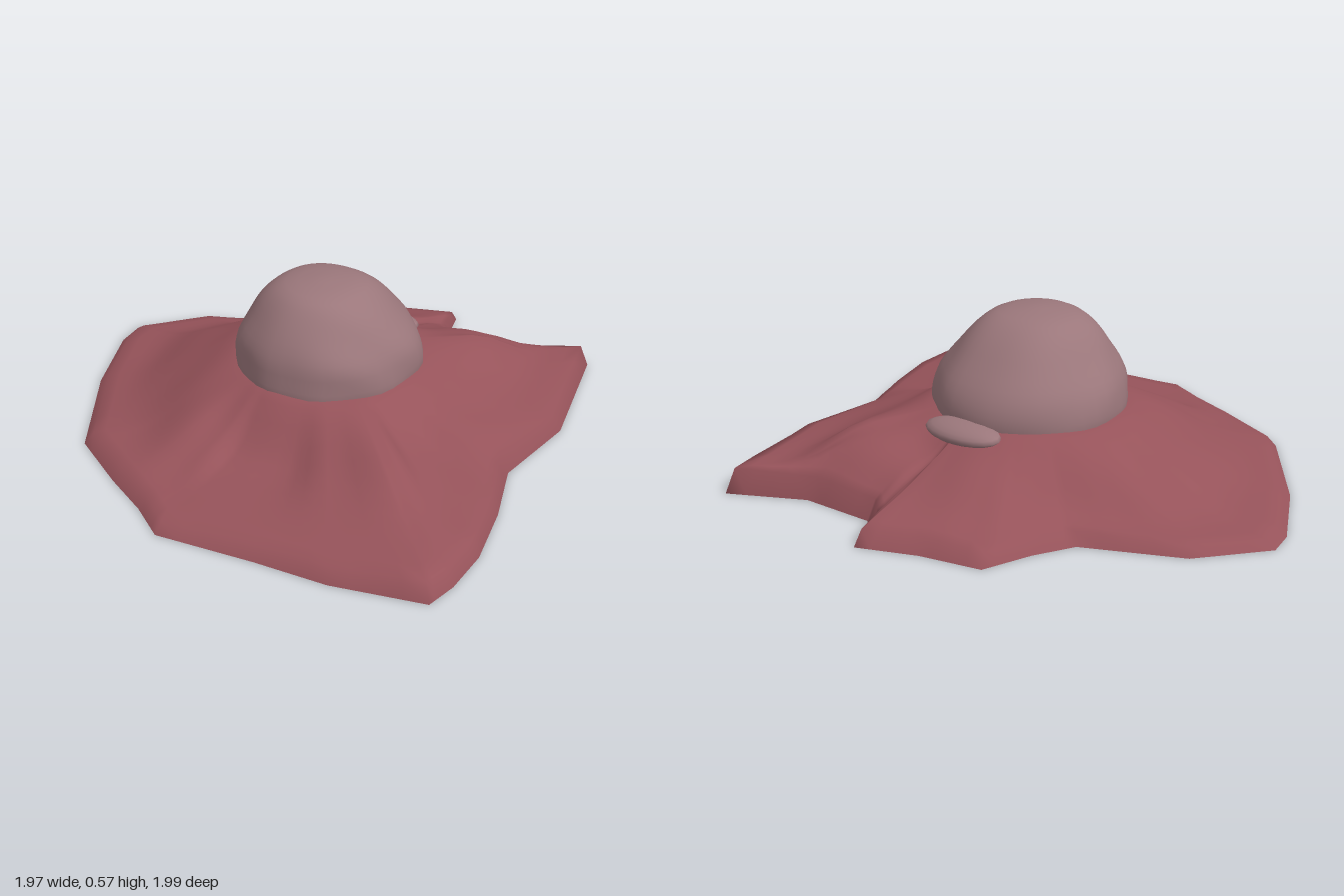
import * as THREE from 'three';
import { mergeVertices } from 'three/addons/utils/BufferGeometryUtils.js';

const CX = -0.075, CZ = -0.185; // centre of the dome

// Each spoke of the mound: outline x, z, then inner, outer and rim heights
const SPOKES = [
  [-0.67, -1.0, 0.16, 0.06, 0.025], [-0.39, -1.0, 0.17, 0.06, 0.03],
  [-0.07, -0.85, 0.18, 0.08, 0.04], [0.08, -0.88, 0.18, 0.08, 0.04],
  [0.25, -0.94, 0.17, 0.08, 0.04], [0.42, -0.81, 0.18, 0.1, 0.05],
  [0.61, -0.71, 0.17, 0.1, 0.05], [0.545, -0.61, 0.16, 0.11, 0.06],
  [0.545, -0.53, 0.17, 0.13, 0.07], [0.72, -0.33, 0.215, 0.17, 0.08],
  [0.985, -0.22, 0.22, 0.11, 0.09], [0.7, 0.19, 0.16, 0.1, 0.07],
  [0.42, 0.39, 0.165, 0.12, 0.07], [0.3, 0.61, 0.13, 0.09, 0.06],
  [0.16, 0.81, 0.14, 0.09, 0.06], [0.03, 0.93, 0.19, 0.11, 0.06],
  [-0.07, 0.99, 0.19, 0.1, 0.065], [-0.35, 0.81, 0.14, 0.08, 0.05],
  [-0.55, 0.63, 0.09, 0.06, 0.045], [-0.83, 0.4, 0.08, 0.05, 0.035],
  [-0.86, 0.24, 0.14, 0.06, 0.04], [-0.92, 0.05, 0.18, 0.08, 0.04],
  [-0.985, -0.21, 0.17, 0.07, 0.04], [-0.87, -0.63, 0.17, 0.07, 0.03],
  [-0.74, -0.92, 0.16, 0.06, 0.03],
];
const SUB = 4, RINGS = 14;

// Linear outline between spokes, eased heights
function spokeAt(s) {
  const i = Math.floor(s / SUB), f = (s % SUB) / SUB;
  const a = SPOKES[i], b = SPOKES[(i + 1) % SPOKES.length];
  const e = f * f * (3 - 2 * f);
  return a.map((v, k) => v + (b[k] - v) * (k < 2 ? f : e));
}

function meshFrom(name, positions, index, material) {
  const g = new THREE.BufferGeometry();
  g.setAttribute('position', new THREE.Float32BufferAttribute(positions, 3));
  g.setIndex(index);
  g.computeVertexNormals();
  const m = new THREE.Mesh(g, material);
  m.name = name;
  return m;
}

// Sloping, folded ground falling away from the dome to a thin rim
function makeMound(material) {
  const n = SPOKES.length * SUB, row = RINGS + 2, pos = [], idx = [];
  for (let s = 0; s < n; s++) {
    const [x, z, inner, outer, rim] = spokeAt(s);
    const dx = x - CX, dz = z - CZ, R = Math.hypot(dx, dz);
    const at = (r, y) => new THREE.Vector3(CX + dx / R * r, y, CZ + dz / R * r);
    const mid = (u) => 0.33 + (R - 0.33) * u;
    const curve = new THREE.CatmullRomCurve3([
      at(0.28, 0.255), at(0.35, 0.245), at(mid(0.33), inner), at(mid(0.66), outer), at(R - 0.035, rim),
    ]);
    for (let k = 0; k <= RINGS; k++) {
      const p = curve.getPoint(k / RINGS);
      const fade = Math.sin(Math.PI * k / RINGS);
      p.y += 0.006 * fade * Math.sin(p.x * 17 + 1) * Math.cos(p.z * 15);
      pos.push(p.x, p.y, p.z);
    }
    pos.push(x, 0, z);
    for (let k = 0; k < row - 1; k++) {
      const a = s * row + k, b = ((s + 1) % n) * row + k;
      idx.push(a, b, a + 1, b, b + 1, a + 1);
    }
  }
  return meshFrom('mound', pos, idx, material);
}

// Flat underside
function makeUnderside(material) {
  const pos = [CX, 0, CZ], idx = [], n = SPOKES.length;
  SPOKES.forEach(([x, z], i) => {
    pos.push(x, 0, z);
    idx.push(0, i + 1, ((i + 1) % n) + 1);
  });
  return meshFrom('underside', pos, idx, material);
}

// Lumpy boulder dome
function makeDome(material) {
  const profile = new THREE.SplineCurve([
    [0.335, 0.22], [0.34, 0.27], [0.325, 0.35], [0.275, 0.43],
    [0.21, 0.51], [0.13, 0.56], [0, 0.575],
  ].map(([r, y]) => new THREE.Vector2(r, y))).getPoints(18);
  profile[profile.length - 1].x = 0;
  let g = new THREE.LatheGeometry(profile, 40);
  g.deleteAttribute('uv');
  g.deleteAttribute('normal');
  g = mergeVertices(g, 1e-4);
  const p = g.attributes.position;
  for (let i = 0; i < p.count; i++) {
    const x = p.getX(i), y = p.getY(i), z = p.getZ(i);
    const lump = 1 + 0.018 * Math.sin(x * 19 + y * 9) * Math.cos(z * 17 - y * 11)
      + 0.012 * Math.sin(z * 27 + x * 13);
    const lean = Math.max(0, y - 0.3) * 0.1;
    p.setXYZ(i, x * lump + CX - lean, y, z * lump + CZ + lean);
  }
  g.computeVertexNormals();
  const m = new THREE.Mesh(g, material);
  m.name = 'dome';
  return m;
}

export function createModel() {
  const earth = new THREE.MeshStandardMaterial({ color: 0x96535a });
  earth.name = 'red earth';
  const stone = new THREE.MeshStandardMaterial({ color: 0x9b777b });
  stone.name = 'pale stone';

  const group = new THREE.Group();
  group.name = 'rockMound';
  group.add(makeMound(earth), makeUnderside(earth), makeDome(stone));

  // Low stone lip spilling out at the back left of the dome
  const lip = new THREE.Mesh(new THREE.SphereGeometry(1, 20, 10), stone);
  lip.name = 'stoneLip';
  lip.scale.set(0.07, 0.035, 0.15);
  lip.position.set(0.205, 0.235, -0.41);
  lip.rotation.set(0, 0.72, -0.15, 'YXZ');
  group.add(lip);
  return group;
}
